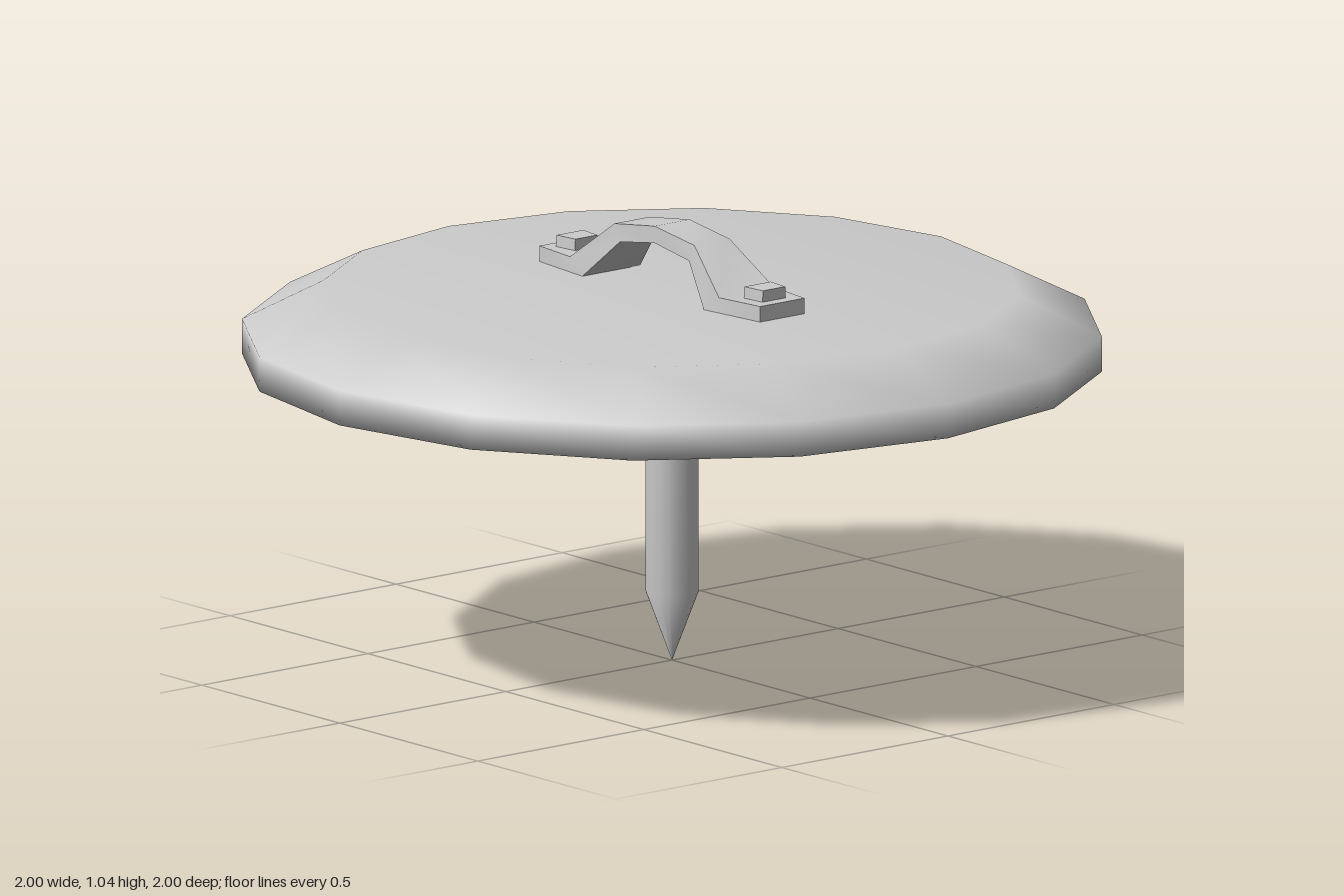
import * as THREE from 'three';
import { toCreasedNormals } from 'three/addons/utils/BufferGeometryUtils.js';

const material = new THREE.MeshStandardMaterial({ color: 0xcccccc });

function part(name, geometry) {
  const mesh = new THREE.Mesh(geometry, material);
  mesh.name = name;
  return mesh;
}

function lathe(points, sides) {
  return new THREE.LatheGeometry(points.map(([r, y]) => new THREE.Vector2(r, y)), sides);
}

// Strap swept front to back; each section has separate top and bottom edges
function handleGeometry() {
  // [top z, top y, top half width, bottom z, bottom y, bottom half width]
  const half = [
    [0.4, 0.923, 0.067, 0.4, 0.886, 0.067],
    [0.27, 0.923, 0.083, 0.22, 0.886, 0.087],
    [0.145, 1.02, 0.053, 0.125, 0.98, 0.053],
  ];
  const mirrored = half.map(([tz, ty, tw, bz, by, bw]) => [-tz, ty, tw, -bz, by, bw]).reverse();
  const sections = [...half, [0, 1.04, 0.053, 0, 1.0, 0.053], ...mirrored];
  const positions = [];
  const index = [];
  for (const [tz, ty, tw, bz, by, bw] of sections) {
    positions.push(-tw, ty, tz, tw, ty, tz, bw, by, bz, -bw, by, bz);
  }
  for (let s = 0; s < sections.length - 1; s++) {
    for (let k = 0; k < 4; k++) {
      const a = s * 4 + k;
      const b = s * 4 + ((k + 1) % 4);
      index.push(a, b, b + 4, a, b + 4, a + 4);
    }
  }
  const e = (sections.length - 1) * 4;
  index.push(0, 3, 2, 0, 2, 1, e, e + 1, e + 2, e, e + 2, e + 3);
  const geometry = new THREE.BufferGeometry();
  geometry.setAttribute('position', new THREE.Float32BufferAttribute(positions, 3));
  geometry.setIndex(index);
  return toCreasedNormals(geometry, 0.8);
}

// Small block, slightly narrower towards the front and the top
function boltGeometry() {
  const geometry = new THREE.BoxGeometry(0.084, 0.04, 0.06);
  const p = geometry.attributes.position;
  for (let i = 0; i < p.count; i++) {
    if (p.getZ(i) > 0) p.setX(i, p.getX(i) * 0.84);
    if (p.getY(i) > 0) p.setX(i, p.getX(i) * 0.95);
  }
  geometry.computeVertexNormals();
  return geometry;
}

export function createModel() {
  const group = new THREE.Group();

  // Sixteen-sided lid with a bevelled rim and a slightly recessed underside
  group.add(part('lid', lathe([[0.765, 0.742], [1, 0.708], [1, 0.79], [0.81, 0.886], [0, 0.886]], 16)));
  group.add(part('underside', lathe([[0, 0.742], [0.765, 0.742]], 16)));

  // Pointed stake below the lid
  group.add(part('stake', lathe([[0, 0], [0.062, 0.165], [0.062, 0.742]], 16)));

  // Arched handle with a bolt in each foot
  group.add(part('handle', handleGeometry()));
  for (const side of [1, -1]) {
    const bolt = part(side > 0 ? 'frontBolt' : 'backBolt', boltGeometry());
    bolt.position.set(0, 0.93, side * 0.34);
    group.add(bolt);
  }
  return group;
}
